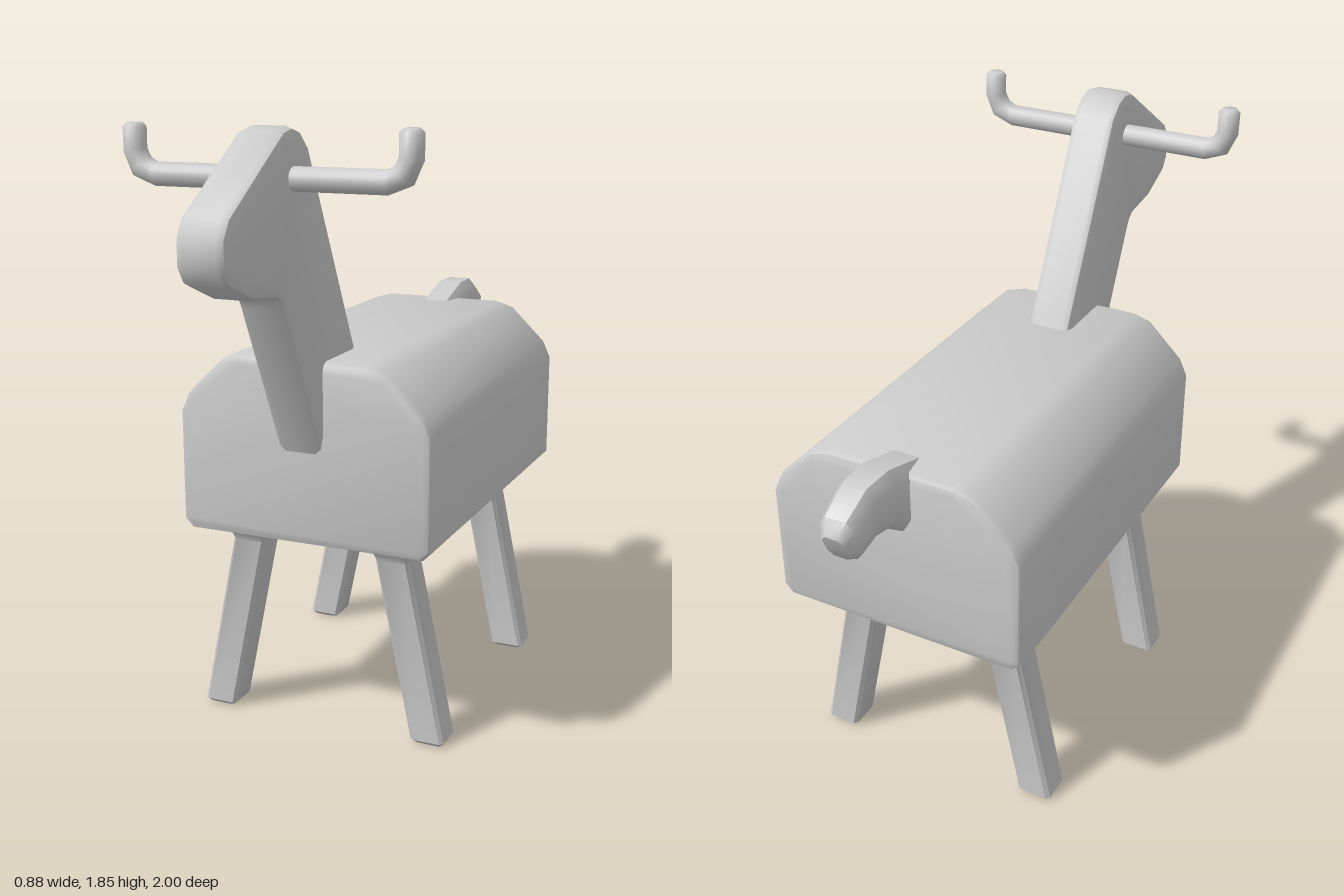
import * as THREE from 'three';
import { toCreasedNormals } from 'three/addons/utils/BufferGeometryUtils.js';

const material = new THREE.MeshStandardMaterial({ color: 0xcccccc });
const V = (x, y, z) => new THREE.Vector3(x, y, z);

function addMesh(parent, name, geometry, crease = 0.6) {
  const mesh = new THREE.Mesh(toCreasedNormals(geometry, crease), material);
  mesh.name = name;
  parent.add(mesh);
  return mesh;
}

// Outline extruded along z from 0 to depth, bevelled inward
function bevelled(points, depth, bevel) {
  const shape = new THREE.Shape(points.map(([x, y]) => new THREE.Vector2(x, y)));
  return new THREE.ExtrudeGeometry(shape, {
    depth: depth - 2 * bevel, bevelEnabled: true, bevelThickness: bevel,
    bevelSize: bevel, bevelOffset: -bevel, bevelSegments: 2,
  }).translate(0, 0, bevel);
}

// Closed skin over rings of equal length (rings turn so that u x v = travel)
function loft(rings) {
  const n = rings[0].length;
  const pos = rings.flat().flatMap((p) => [p.x, p.y, p.z]);
  const index = [];
  for (let r = 0; r < rings.length - 1; r++) {
    for (let i = 0; i < n; i++) {
      const a = r * n + i, b = r * n + (i + 1) % n;
      index.push(a, b, b + n, a, b + n, a + n);
    }
  }
  const last = (rings.length - 1) * n;
  for (let i = 1; i < n - 1; i++) {
    index.push(0, i + 1, i, last, last + i, last + i + 1);
  }
  const g = new THREE.BufferGeometry();
  g.setAttribute('position', new THREE.Float32BufferAttribute(pos, 3));
  g.setIndex(index);
  g.computeVertexNormals();
  return g;
}

// Rectangular ring with cut corners; u and v are half axes, c the cut as a fraction
function cutRing(center, u, v, c) {
  const k = 1 - c;
  return [[1, -k], [1, k], [k, 1], [-k, 1], [-1, k], [-1, -k], [-k, -1], [k, -1]]
    .map(([a, b]) => center.clone().addScaledVector(u, a).addScaledVector(v, b));
}

function roundRing(center, u, v, n = 16) {
  return Array.from({ length: n }, (_, i) => {
    const t = (i / n) * Math.PI * 2;
    return center.clone().addScaledVector(u, Math.cos(t)).addScaledVector(v, Math.sin(t));
  });
}

export function createModel() {
  const model = new THREE.Group();
  model.name = 'ridingAnimal';

  // Body: block with sloped shoulders
  const half = [[0.37, 0.635], [0.4, 0.665], [0.4, 1.005], [0.375, 1.06], [0.26, 1.172], [0.2, 1.19]];
  const outline = [...half, ...half.map(([x, y]) => [-x, y]).reverse()];
  addMesh(model, 'body', bevelled(outline, 1.19, 0.025).translate(0, 0, -0.73), 0.7);

  // Head and neck: side profile given as (z, y)
  const profile = [
    [0.40, 0.80], [0.46, 0.92], [0.68, 1.37], [0.695, 1.395], [0.72, 1.41], [0.85, 1.425],
    [0.97, 1.475], [1.0, 1.52], [1.0, 1.595], [0.97, 1.645], [0.67, 1.838], [0.62, 1.848],
    [0.57, 1.835], [0.52, 1.79], [0.22, 1.19], [0.12, 0.98],
  ];
  const head = bevelled(profile, 0.145, 0.025).translate(0, 0, -0.0725).rotateY(-Math.PI / 2);
  addMesh(model, 'headAndNeck', head, 0.7);

  // Tail: sections as top z, top y, bottom z, bottom y, half width
  const tail = [
    [-0.58, 1.175, -0.68, 0.97, 0.07],
    [-0.78, 1.235, -0.80, 1.06, 0.068],
    [-0.88, 1.235, -0.87, 1.072, 0.063],
    [-0.975, 1.185, -0.935, 1.047, 0.055],
    [-1.0, 1.14, -0.965, 1.06, 0.035],
  ].map(([tz, ty, bz, by, w]) => cutRing(
    V(0, (ty + by) / 2, (tz + bz) / 2), V(0, (ty - by) / 2, (tz - bz) / 2), V(w, 0, 0), 0.42));
  addMesh(model, 'tail', loft(tail), 0.85);

  // Splayed legs, flared where they meet the body
  const levels = [
    // y, centre x, half size, corner cut
    [0, 0.356, 0.042, 0.2], [0.012, 0.354, 0.054, 0.2], [0.575, 0.238, 0.054, 0.2],
    [0.595, 0.238, 0.064, 0.25], [0.618, 0.24, 0.088, 0.35], [0.638, 0.242, 0.12, 0.45],
    [0.66, 0.242, 0.12, 0.45],
  ];
  for (const [end, z] of [['front', 0.275], ['back', -0.513]]) {
    for (const [side, s] of [['Left', 1], ['Right', -1]]) {
      const rings = levels.map(([y, x, h, c]) =>
        cutRing(V(s * x - 0.008, y, z), V(0, 0, h), V(h, 0, 0), c));
      addMesh(model, `${end}${side}Leg`, loft(rings), 0.7);
    }
  }

  // Handlebar through the head, with upturned ends
  const rightHalf = [[0.34, 1.713, 0.033], [0.385, 1.732, 0.035], [0.405, 1.775, 0.033],
    [0.405, 1.838, 0.033], [0.405, 1.85, 0.022]];
  const path = [...rightHalf.map(([x, y, r]) => [-x, y, r]).reverse(), ...rightHalf];
  const bar = path.map(([x, y, r], i) => {
    const p = path[Math.max(i - 1, 0)], q = path[Math.min(i + 1, path.length - 1)];
    const t = V(q[0] - p[0], q[1] - p[1], 0).normalize();
    return roundRing(V(x - 0.003, y, 0.625), V(-t.y * r, t.x * r, 0), V(0, 0, r));
  });
  addMesh(model, 'handlebar', loft(bar), 0.9);

  return model;
}
